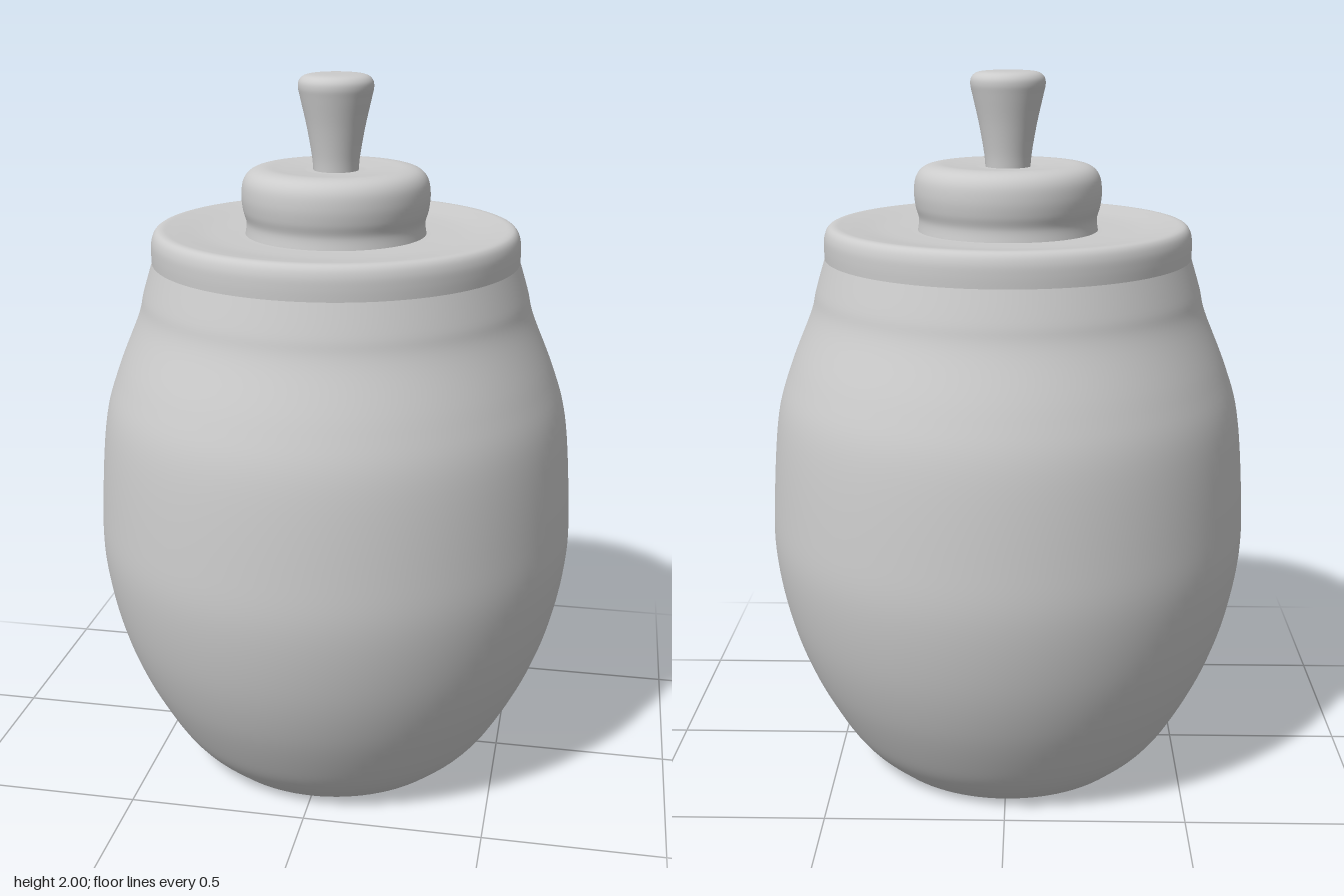
import * as THREE from 'three';

const material = new THREE.MeshStandardMaterial({ color: 0xcccccc, side: THREE.DoubleSide });

// Smooth curve through [radius, height] points
function smooth(points, samples) {
  const curve = new THREE.SplineCurve(points.map(([r, y]) => new THREE.Vector2(r, y)));
  return curve.getPoints(samples).map(p => new THREE.Vector2(Math.max(p.x, 0), p.y));
}

function turned(name, profile) {
  const mesh = new THREE.Mesh(new THREE.LatheGeometry(profile, 96), material);
  mesh.name = name;
  return mesh;
}

export function createModel() {
  const jar = new THREE.Group();
  jar.name = 'lidded jar';

  // Rounded belly narrowing to a soft shoulder
  jar.add(turned('body', smooth([
    [0.385, 0], [0.455, 0.065], [0.515, 0.15], [0.592, 0.3], [0.648, 0.465],
    [0.68, 0.65], [0.678, 0.82], [0.657, 1.05], [0.617, 1.19], [0.556, 1.34],
    [0.538, 1.41], [0.512, 1.495],
  ], 72)));

  // Flat foot
  jar.add(turned('base', [new THREE.Vector2(0, 0), new THREE.Vector2(0.385, 0)]));

  // Lid with a rounded rim and slightly dished top
  jar.add(turned('lid', [
    ...smooth([[0.512, 1.49], [0.513, 1.525], [0.511, 1.555], [0.502, 1.577], [0.485, 1.586],
      [0.45, 1.583], [0.36, 1.572], [0.26, 1.568]], 40),
    new THREE.Vector2(0, 1.568),
  ]));

  // Cushion-shaped collar under the handle
  jar.add(turned('collar', [
    ...smooth([[0.252, 1.565], [0.248, 1.6], [0.257, 1.635], [0.261, 1.675], [0.255, 1.715],
      [0.235, 1.74], [0.2, 1.75], [0.15, 1.747], [0.08, 1.742]], 44),
    new THREE.Vector2(0, 1.742),
  ]));

  // Flared handle with a domed end
  jar.add(turned('handle', smooth([
    [0.062, 1.735], [0.066, 1.78], [0.08, 1.86], [0.097, 1.935], [0.103, 1.965],
    [0.099, 1.984], [0.083, 1.996], [0.05, 2], [0, 2],
  ], 44)));

  return jar;
}
